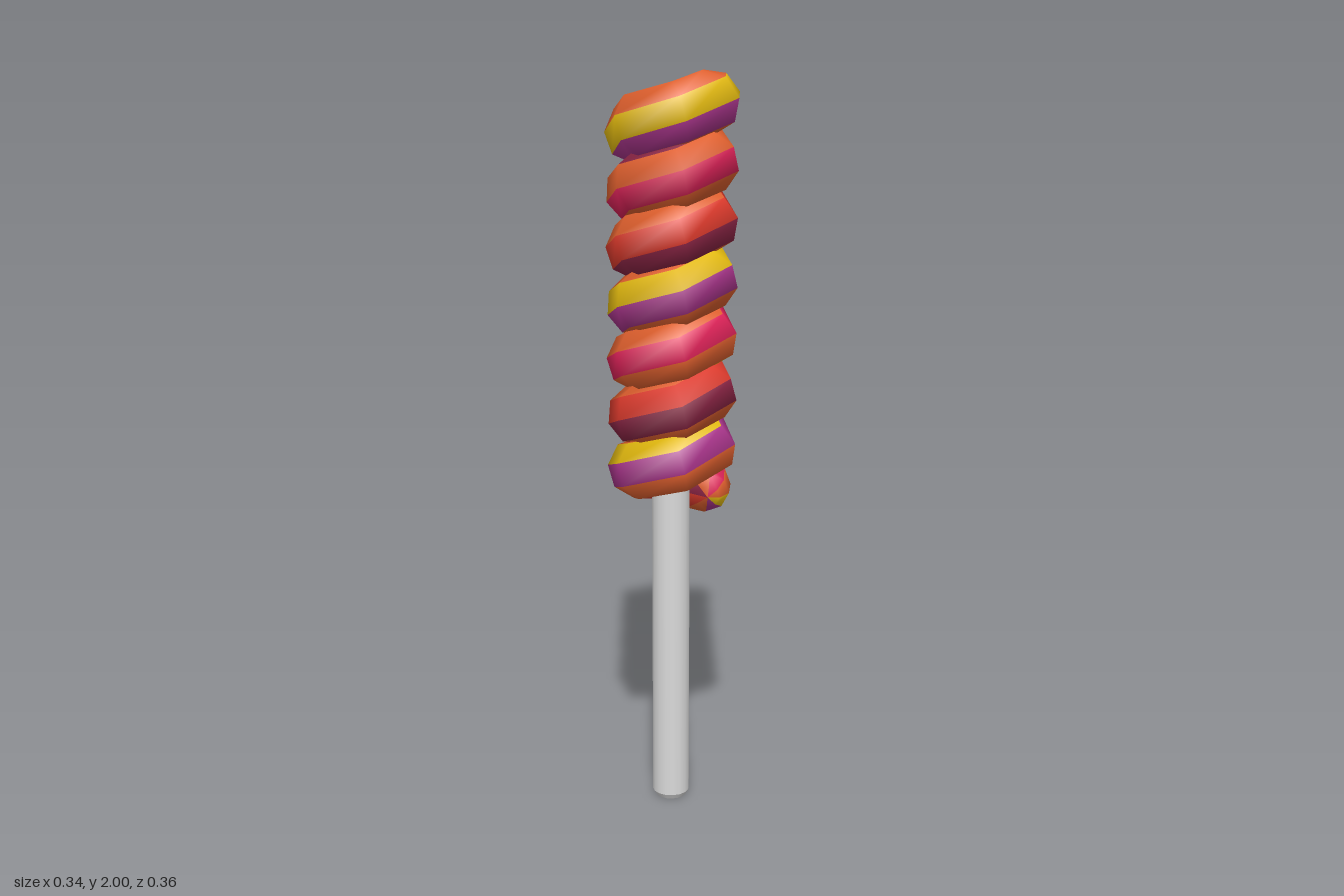
import * as THREE from 'three';

const material = (name, color) => {
  const m = new THREE.MeshStandardMaterial({ color });
  m.name = name;
  return m;
};

const COIL = 0.1;        // radius of the coil's centre line
const TUBE = 0.082;      // radius of the candy rope
const PITCH = 0.149;     // rise per turn
const START = 80, SEGMENTS = 41, STEP = 60;   // degrees, six sides per turn
const TWIST = 112 / 360; // stripe twist per degree of coil
const rad = THREE.MathUtils.degToRad;

// Corners of one octagonal rope section at a coil angle in degrees
function section(theta, radius) {
  const a = rad(theta);
  const centre = new THREE.Vector3(COIL * Math.cos(a), 0.9 + PITCH * (theta - START) / 360, -COIL * Math.sin(a));
  const out = new THREE.Vector3(Math.cos(a), 0, -Math.sin(a));
  const along = new THREE.Vector3(-Math.sin(a), PITCH / (2 * Math.PI * COIL), -Math.cos(a)).normalize();
  const up = along.clone().cross(out).normalize();
  if (up.y < 0) up.negate();
  const first = -5 + (theta - 1340) * TWIST;
  return Array.from({ length: 8 }, (_, k) => {
    const b = rad(first - 45 * k);
    return centre.clone()
      .addScaledVector(out, radius * Math.cos(b))
      .addScaledVector(up, radius * Math.sin(b));
  });
}

function ropeGeometry(stripeMaterials) {
  // Rings along the coil, with rounded caps that follow the curve at both ends
  const rings = [];
  const end = START + SEGMENTS * STEP;
  const capAngles = [90, 67, 45, 22];
  for (const c of capAngles)
    rings.push(section(START - 50 * Math.sin(rad(c)), TUBE * (c === 90 ? 0.001 : Math.cos(rad(c)))));
  for (let i = 0; i <= SEGMENTS; i++) rings.push(section(START + i * STEP, TUBE));
  for (const c of [...capAngles].reverse())
    rings.push(section(end + 50 * Math.sin(rad(c)), TUBE * (c === 90 ? 0.001 : Math.cos(rad(c)))));

  // One material group for each lengthwise stripe
  const geometry = new THREE.BufferGeometry().setFromPoints(rings.flat());
  const index = [];
  stripeMaterials.forEach((_, k) => {
    const from = index.length, upper = (k + 7) % 8;
    for (let i = 0; i < rings.length - 1; i++) {
      const a = i * 8 + k, b = a + 8, c = (i + 1) * 8 + upper, d = i * 8 + upper;
      index.push(a, b, c, a, c, d);
    }
    geometry.addGroup(from, index.length - from, k);
  });
  geometry.setIndex(index);
  geometry.computeVertexNormals();
  return geometry;
}

export function createModel() {
  const model = new THREE.Group();
  model.name = 'spiralLollipop';

  const yellow = material('yellow', 0xe2b90f);
  const purple = material('purple', 0xa8348a);
  const orange = material('orange', 0xe0602e);
  const red = material('red', 0xdc3a2c);
  const maroon = material('maroon', 0x8a2444);
  const magenta = material('magenta', 0xdc2258);
  const white = material('stickWhite', 0xdadada);

  // Coiled candy, stripes listed from the top of the rope downwards
  const stripes = [yellow, purple, orange, red, maroon, orange, magenta, orange];
  const candy = new THREE.Mesh(ropeGeometry(stripes), stripes);
  candy.name = 'candyCoil';
  model.add(candy);

  // Stick with a small bevel at the foot
  const shaft = new THREE.Mesh(new THREE.CylinderGeometry(0.051, 0.051, 0.945, 16), white);
  shaft.position.y = 0.015 + 0.945 / 2;
  shaft.name = 'stick';
  const foot = new THREE.Mesh(new THREE.CylinderGeometry(0.051, 0.042, 0.015, 16), white);
  foot.position.y = 0.0075;
  foot.name = 'stickFoot';
  model.add(shaft, foot);

  return model;
}
